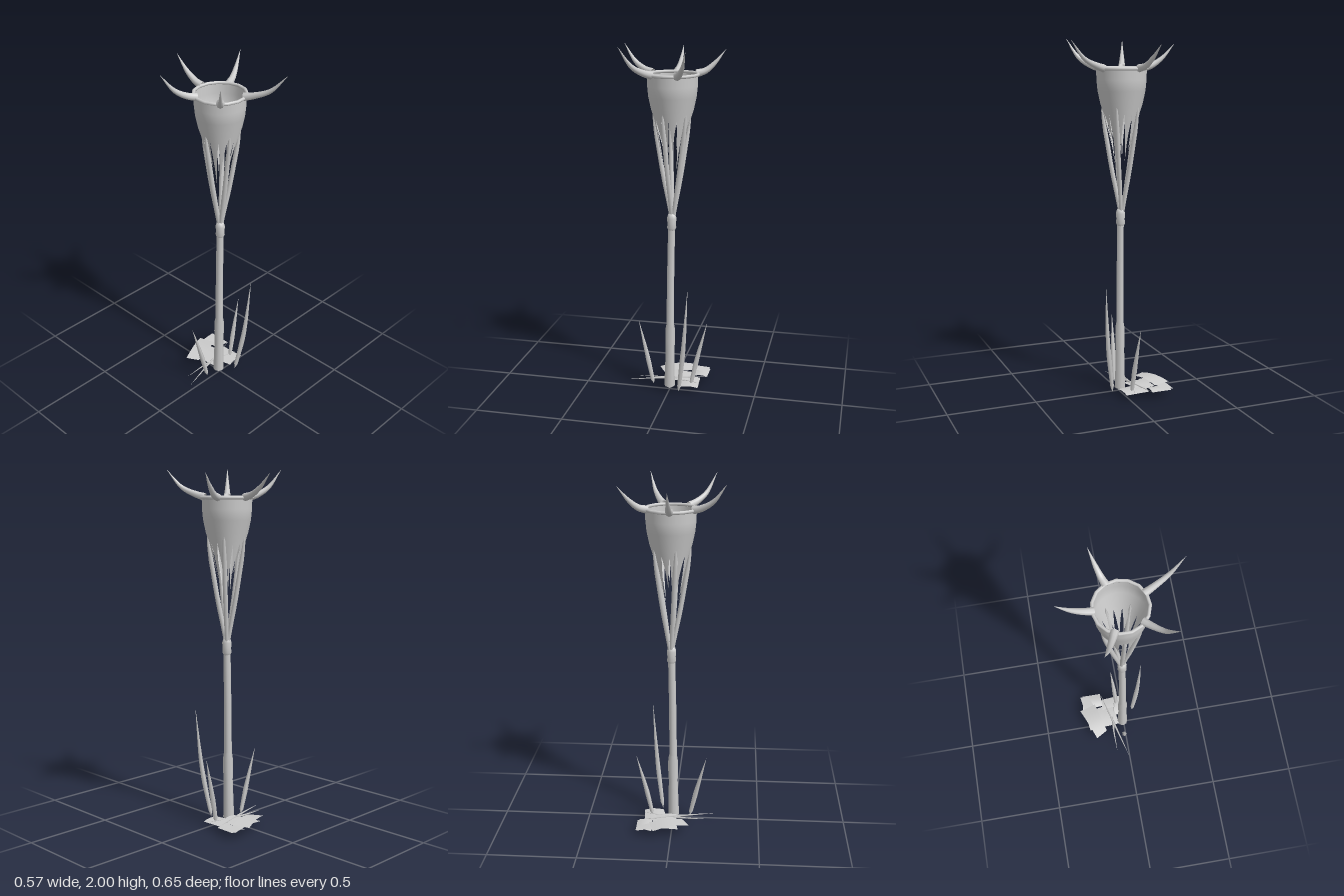
import * as THREE from 'three';

const V = (x, y, z) => new THREE.Vector3(x, y, z);
const CX = 0.013, CZ = -0.01; // axis of the cup

// Tube along points whose radius follows a list of [t, radius] stops
function taperedTube(points, stops, sides = 8, segs = 16) {
  const curve = new THREE.CatmullRomCurve3(points);
  const geo = new THREE.TubeGeometry(curve, segs, 1, sides, false);
  const pos = geo.attributes.position;
  const p = V(0, 0, 0);
  for (let i = 0; i <= segs; i++) {
    const t = i / segs;
    let k = 1;
    while (k < stops.length - 1 && stops[k][0] < t) k++;
    const [t0, r0] = stops[k - 1], [t1, r1] = stops[k];
    const r = THREE.MathUtils.mapLinear(t, t0, t1, r0, r1);
    const c = curve.getPointAt(t);
    for (let j = 0; j <= sides; j++) {
      const n = i * (sides + 1) + j;
      p.fromBufferAttribute(pos, n).sub(c).multiplyScalar(r).add(c);
      pos.setXYZ(n, p.x, p.y, p.z);
    }
  }
  return geo;
}

// Cup wall whose lower edge is cut into long pointed teeth
function cupGeometry(teeth) {
  const body = [[1.84, 0.138], [1.78, 0.137], [1.72, 0.131], [1.65, 0.116], [1.6, 0.1]];
  const fringe = [[1.6, 0.1], [1.52, 0.083], [1.44, 0.067], [1.34, 0.048]];
  const pos = [], idx = [];
  const step = Math.PI * 2 / teeth;
  const strip = (rows, mid, half, drop) => {
    const start = pos.length / 3;
    rows.forEach(([y, r], i) => {
      const w = half(i / (rows.length - 1));
      const yy = y < 1.6 ? 1.6 + (y - 1.6) * drop : y;
      for (const s of [-1, 0, 1]) {
        const a = mid + s * w;
        pos.push(CX + Math.cos(a) * r, yy, CZ + Math.sin(a) * r);
      }
      if (i > 0) for (const s of [0, 1]) {
        const a = start + (i - 1) * 3 + s, b = a + 3;
        idx.push(a, a + 1, b, a + 1, b + 1, b);
      }
    });
  };
  for (let k = 0; k < teeth; k++) {
    const mid = k * step;
    const drop = [1, 0.8, 1.1, 0.7][k % 4];
    strip(body, mid, () => step / 2, 1);
    strip(fringe, mid, t => step / 2 * (1 - t), drop);
  }
  const geo = new THREE.BufferGeometry();
  geo.setAttribute('position', new THREE.Float32BufferAttribute(pos, 3));
  geo.setIndex(idx);
  geo.computeVertexNormals();
  // Round normals so the strips shade as one wall
  const n = geo.attributes.normal;
  for (let i = 0; i < n.count; i++) {
    const x = pos[i * 3] - CX, z = pos[i * 3 + 2] - CZ;
    const y = pos[i * 3 + 1];
    const v = V(x, 0, z).normalize();
    v.y = y > 1.76 ? -0.05 : -0.25;
    v.normalize();
    n.setXYZ(i, v.x, v.y, v.z);
  }
  return geo;
}

// Thin sheet with four ground corners and an arched middle
function sheetGeometry(c, y, arch) {
  const geo = new THREE.PlaneGeometry(1, 1, 4, 1);
  const pos = geo.attributes.position;
  for (let i = 0; i < pos.count; i++) {
    const u = pos.getX(i) + 0.5, v = 0.5 - pos.getY(i);
    const mix = k => THREE.MathUtils.lerp(
      THREE.MathUtils.lerp(c[0][k], c[1][k], u), THREE.MathUtils.lerp(c[3][k], c[2][k], u), v);
    pos.setXYZ(i, mix(0), y + arch * Math.sin(Math.PI * u), mix(1));
  }
  geo.computeVertexNormals();
  return geo;
}

export function createModel() {
  const model = new THREE.Group();
  const grey = new THREE.MeshStandardMaterial({ color: 0xcccccc, side: THREE.DoubleSide });
  grey.name = 'pale grey';
  const add = (name, geo) => {
    const mesh = new THREE.Mesh(geo, grey);
    mesh.name = name;
    model.add(mesh);
    return mesh;
  };

  // Stem with a thicker lower sheath and a knob at the top
  add('stem', taperedTube([V(0, 0.3, -0.006), V(0.004, 0.7, -0.006), V(0.01, 1.02, -0.006)],
    [[0, 0.022], [1, 0.02]], 8, 8));
  add('stemSheath', taperedTube([V(-0.003, 0, -0.008), V(0, 0.2, -0.007), V(0.002, 0.41, -0.006)],
    [[0, 0], [0.01, 0.032], [0.6, 0.026], [0.75, 0.029], [0.93, 0.028], [1, 0.021]], 8, 20));
  const knob = [[0.018, 0.97], [0.026, 0.985], [0.024, 1.01], [0.027, 1.04], [0.02, 1.065], [0, 1.075]];
  const knobMesh = add('stemKnob',
    new THREE.LatheGeometry(knob.map(([r, y]) => new THREE.Vector2(r, y)), 10));
  knobMesh.position.set(0.01, 0, -0.006);

  // Five bowed struts carrying the cup
  const strutPath = [[0.006, 1.04], [0.026, 1.15], [0.055, 1.3], [0.08, 1.45], [0.098, 1.56], [0.108, 1.65]];
  for (let k = 0; k < 5; k++) {
    const a = Math.PI + k * Math.PI * 2 / 5;
    add('strut', taperedTube(
      strutPath.map(([r, y]) => V(CX + r * Math.cos(a), y, CZ + r * Math.sin(a))),
      [[0, 0.01], [0.3, 0.013], [0.75, 0.013], [0.93, 0.008], [1, 0.001]]));
  }

  // Cup, rim and five upswept spikes
  add('cup', cupGeometry(14));
  const rim = add('cupRim', new THREE.TorusGeometry(0.14, 0.009, 8, 15));
  rim.rotation.x = Math.PI / 2;
  rim.position.set(CX, 1.84, CZ);
  const tips = [[-0.285, 1.99, -0.135], [0.011, 1.97, -0.325], [0.285, 1.97, -0.125],
    [0.15, 1.99, 0.325], [-0.225, 2, 0.225]];
  for (const [x, y, z] of tips) {
    const d = V(x - CX, 0, z - CZ);
    const reach = d.length();
    d.normalize();
    const at = (r, h) => V(CX + d.x * r, h, CZ + d.z * r);
    add('rimSpike', taperedTube(
      [at(0.132, 1.842), at(0.18, 1.855), at(0.135 + (reach - 0.135) * 0.6, 1.895), at(reach, y)],
      [[0, 0.022], [0.15, 0.019], [0.5, 0.013], [1, 0.0005]]));
  }

  // Upright blades around the base
  const blades = [
    [V(-0.098, 0.02, -0.01), V(-0.14, 0.2, -0.02), V(-0.192, 0.4, -0.033)],
    [V(0.065, 0.02, 0.065), V(0.1, 0.3, 0.105), V(0.128, 0.66, 0.128)],
    [V(0.12, 0.025, -0.03), V(0.158, 0.2, -0.036), V(0.21, 0.41, -0.047)],
  ];
  for (const b of blades) {
    add('blade', taperedTube(b, [[0, 0], [0.02, 0.011], [0.35, 0.015], [0.6, 0.011], [1, 0.0005]], 5));
  }

  // Thin blades lying on the ground
  const fallen = [
    [V(-0.24, 0.035, -0.006), V(-0.02, 0.04, -0.065), V(0.195, 0.04, -0.122)],
    [V(-0.195, 0.032, -0.075), V(-0.02, 0.036, -0.072), V(0.17, 0.04, -0.03)],
  ];
  for (const f of fallen) {
    add('fallenBlade', taperedTube(f, [[0, 0.0005], [0.5, 0.007], [1, 0.0005]], 4));
  }

  // Overlapping sheets of litter behind the stem
  const sheets = [
    [[[-0.1, -0.19], [0.1, -0.27], [0.13, -0.17], [-0.06, -0.12]], 0.05, 0.014],
    [[[0.11, -0.25], [0.2, -0.24], [0.2, -0.125], [0.115, -0.12]], 0.038, 0.008],
    [[[-0.04, -0.225], [0.195, -0.255], [0.19, -0.2], [-0.02, -0.13]], 0.042, 0.01],
    [[[0.02, -0.13], [0.16, -0.12], [0.17, 0.02], [0.06, 0.03]], 0.03, 0.008],
    [[[-0.03, -0.16], [0.1, -0.18], [0.12, -0.06], [-0.02, -0.03]], 0.035, 0.006],
  ];
  for (const [corners, y, arch] of sheets) add('litterSheet', sheetGeometry(corners, y, arch));

  return model;
}
